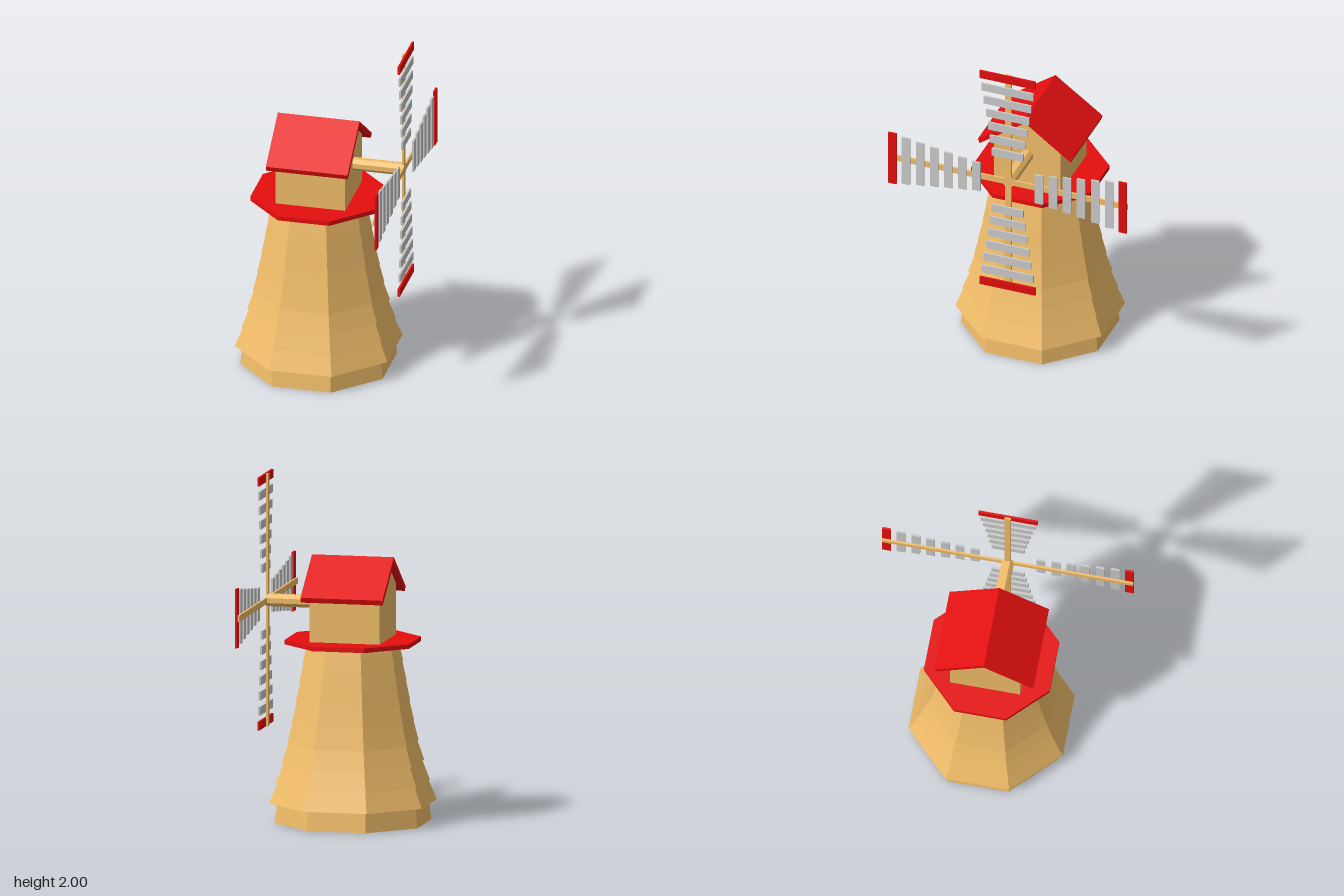
import * as THREE from 'three';

const wood = new THREE.MeshStandardMaterial({ color: 0xf2be6a, flatShading: true });
const red = new THREE.MeshStandardMaterial({ color: 0xe60e0e, flatShading: true });
const grey = new THREE.MeshStandardMaterial({ color: 0xcccccc, flatShading: true });

const CX = -0.036;          // tower axis
const HUB_Y = 1.267;        // height of the sail axle
const OCT = Math.cos(Math.PI / 8);

function add(parent, name, geometry, material, x = 0, y = 0, z = 0) {
  const mesh = new THREE.Mesh(geometry, material);
  mesh.name = name;
  mesh.position.set(x, y, z);
  parent.add(mesh);
  return mesh;
}

// Octagonal prism with flat sides facing the axes; sizes measured to the flats
function octagon(top, bottom, height, open = false) {
  return new THREE.CylinderGeometry(top / OCT, bottom / OCT, height, 8, 1, open).rotateY(Math.PI / 8);
}

// Closed (z, y) outline extruded along x from x0 to x1
function extrudeX(points, x0, x1) {
  const shape = new THREE.Shape(points.map(([z, y]) => new THREE.Vector2(-z, y)));
  return new THREE.ExtrudeGeometry(shape, { depth: x1 - x0, bevelEnabled: false })
    .rotateY(Math.PI / 2).translate(x0, 0, 0);
}

function buildTower() {
  const tower = new THREE.Group();
  tower.name = 'tower';
  // Overlapping rows of boards: [bottom, top] distance to the flats
  const rows = [
    [0.42, 0.408], [0.45, 0.405], [0.413, 0.372], [0.382, 0.346], [0.352, 0.325],
    [0.328, 0.303], [0.307, 0.285], [0.288, 0.265], [0.27, 0.245],
  ];
  const h = 1.04 / rows.length;
  rows.forEach(([bottom, top], i) =>
    add(tower, 'boardRow', octagon(top, bottom, h, i === 0), wood, CX, h * (i + 0.5), 0));
  const base = new THREE.CircleGeometry(0.42 / OCT, 8, Math.PI / 8).rotateX(Math.PI / 2);
  add(tower, 'basePlate', base, red, CX, 0, 0);
  add(tower, 'deck', octagon(0.366, 0.366, 0.026), red, CX, 1.049, 0);
  return tower;
}

function buildHouse() {
  const house = new THREE.Group();
  house.name = 'house';
  const slope = 0.72, apex = 1.54, t = 0.033;
  const roofY = (z) => apex - slope * Math.abs(z);
  // Walls with gables reaching into the roof
  const w = 0.205;
  add(house, 'walls', extrudeX([
    [-w, 1.06], [-w, roofY(w) - 0.02], [0, apex - 0.02], [w, roofY(w) - 0.02], [w, 1.06],
  ], -0.241, 0.171), wood);
  // Bent roof slab
  const e = 0.29;
  add(house, 'roof', extrudeX([
    [-e, roofY(e)], [0, apex], [e, roofY(e)],
    [e - 0.01, roofY(e) - t + 0.004], [0, apex - t], [-e + 0.01, roofY(e) - t + 0.004],
  ], -0.277, 0.205), red);
  return house;
}

function buildSails() {
  const sails = new THREE.Group();
  sails.name = 'sails';
  sails.position.y = HUB_Y;
  const axle = new THREE.CylinderGeometry(0.035 / OCT, 0.035 / OCT, 0.31, 8)
    .rotateY(Math.PI / 8).rotateZ(Math.PI / 2);
  add(sails, 'axle', axle, wood, 0.312, 0, 0);

  // Cross of spars with small chamfers in the inner corners
  const L = 0.732, s = 0.018, c = 0.032;
  const outline = [];
  for (let i = 0; i < 4; i++) {
    const a = -i * Math.PI / 2, cos = Math.cos(a), sin = Math.sin(a);
    for (const [z, y] of [[-s, c], [-s, L], [s, L], [s, c]]) {
      outline.push([z * cos - y * sin, z * sin + y * cos]);
    }
  }
  add(sails, 'spars', extrudeX(outline, 0.461, 0.473), wood);

  // Four arms of slats widening outwards, each ending in a red tip
  for (let i = 0; i < 4; i++) {
    const arm = new THREE.Group();
    arm.name = 'sailArm';
    arm.rotation.x = i * Math.PI / 2;
    for (let k = 0; k < 6; k++) {
      const width = 2 * (0.097 + 0.0108 * k + 0.0003 * k * k);
      add(arm, 'slat', new THREE.BoxGeometry(0.012, 0.05, width), grey, 0.479, 0.193 + 0.0863 * k, 0);
    }
    add(arm, 'sailTip', new THREE.BoxGeometry(0.012, 0.05, 0.344), red, 0.479, 0.708, 0);
    sails.add(arm);
  }
  return sails;
}

export function createModel() {
  const model = new THREE.Group();
  model.name = 'windmill';
  model.add(buildTower(), buildHouse(), buildSails());
  return model;
}
